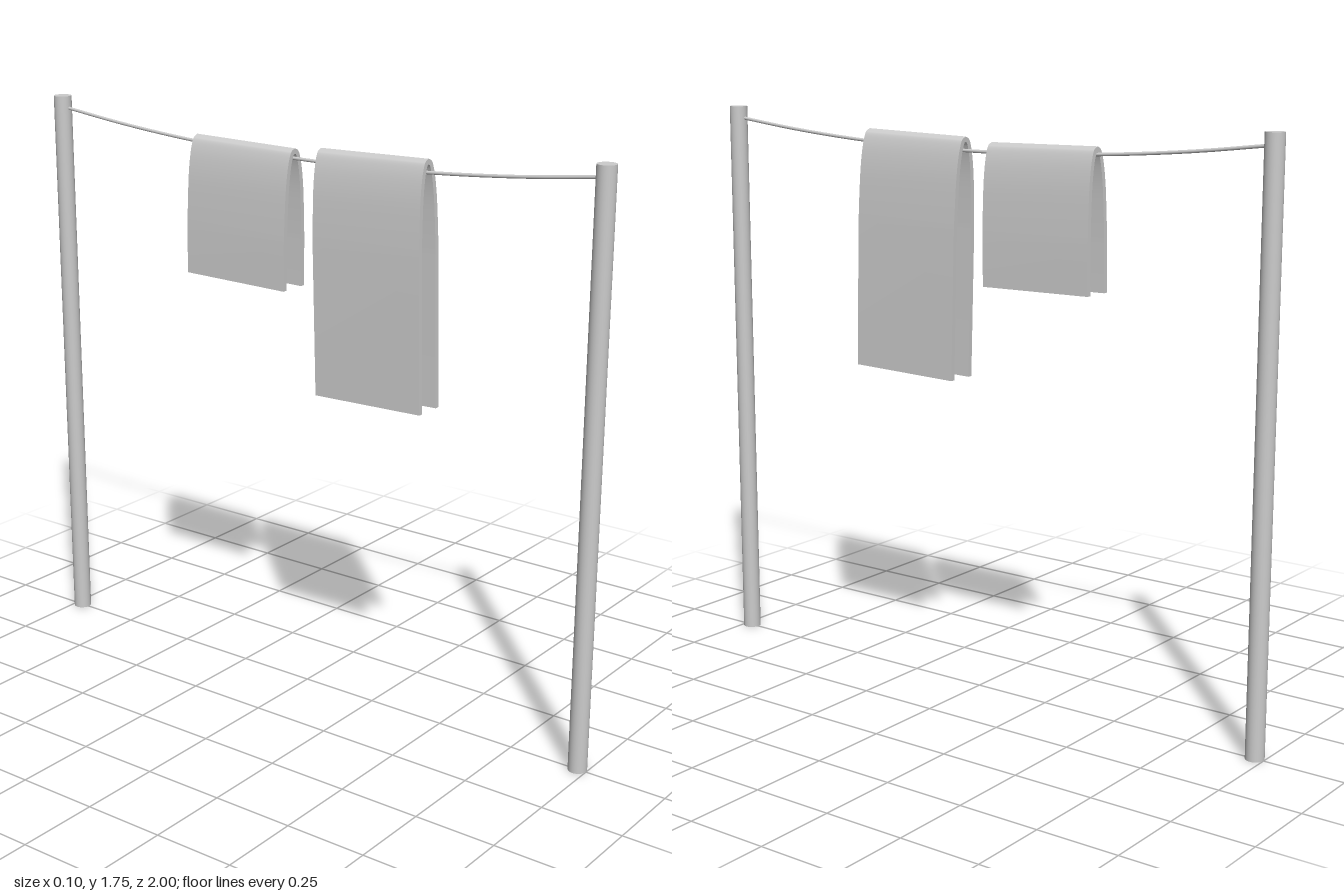
import * as THREE from 'three';
import { toCreasedNormals } from 'three/addons/utils/BufferGeometryUtils.js';

const material = new THREE.MeshStandardMaterial({ color: 0xcccccc });

function addMesh(group, name, geometry) {
  const mesh = new THREE.Mesh(geometry, material);
  mesh.name = name;
  group.add(mesh);
  return mesh;
}

// Cloth folded over the line: an upside-down U section, extruded along z.
// The origin is the middle of the top fold.
function clothGeometry(width, drop, thickness) {
  const side = new THREE.CatmullRomCurve3([
    [0, 0], [0.016, -0.008], [0.028, -0.035], [0.04, -0.1], [0.047, -0.2], [0.05, -0.28],
  ].map(([x, y]) => new THREE.Vector3(x, y, 0)), false, 'centripetal');
  const outer = [], inner = [];
  const steps = 24;
  for (let i = 0; i <= steps; i++) {
    const t = (i / steps) ** 1.6; // closer steps near the fold
    const p = side.getPoint(t), d = side.getTangent(t);
    if (i === 0) d.set(1, 0, 0);
    outer.push(new THREE.Vector2(p.x, p.y));
    inner.push(new THREE.Vector2(Math.max(0, p.x + d.y * thickness), p.y - d.x * thickness));
  }
  outer.push(new THREE.Vector2(0.05, -drop));
  inner.push(new THREE.Vector2(0.05 - thickness, -drop));
  const mirror = (points) => points.slice(1).map((p) => new THREE.Vector2(-p.x, p.y));
  const outline = [
    ...mirror(outer).reverse(), ...outer,
    ...inner.slice().reverse(), ...mirror(inner),
  ];
  const geometry = new THREE.ExtrudeGeometry(new THREE.Shape(outline), { depth: width, bevelEnabled: false });
  geometry.translate(0, 0, -width / 2);
  return toCreasedNormals(geometry, 0.7);
}

export function createModel() {
  const model = new THREE.Group();
  model.name = 'clothesline';

  // Two posts
  const postHeight = 1.755, postZ = 0.972;
  for (const [name, s] of [['frontPost', 1], ['backPost', -1]]) {
    const post = addMesh(model, name, new THREE.CylinderGeometry(0.028, 0.028, postHeight, 24));
    post.position.set(0, postHeight / 2, s * postZ);
  }

  // Sagging line
  const points = [];
  for (let i = -4; i <= 4; i++) {
    const u = i / 4;
    points.push(new THREE.Vector3(0, 1.656 + 0.064 * u * u, u * postZ));
  }
  addMesh(model, 'line', new THREE.TubeGeometry(new THREE.CatmullRomCurve3(points), 32, 0.005, 8));

  // Hanging cloths, each slightly askew
  const longCloth = addMesh(model, 'longCloth', clothGeometry(0.37, 0.73, 0.015));
  longCloth.position.set(0, 1.702, 0.235);
  longCloth.rotation.x = -0.025;

  const shortCloth = addMesh(model, 'shortCloth', clothGeometry(0.37, 0.42, 0.015));
  shortCloth.position.set(0, 1.688, -0.23);
  shortCloth.rotation.x = 0.013;

  return model;
}
